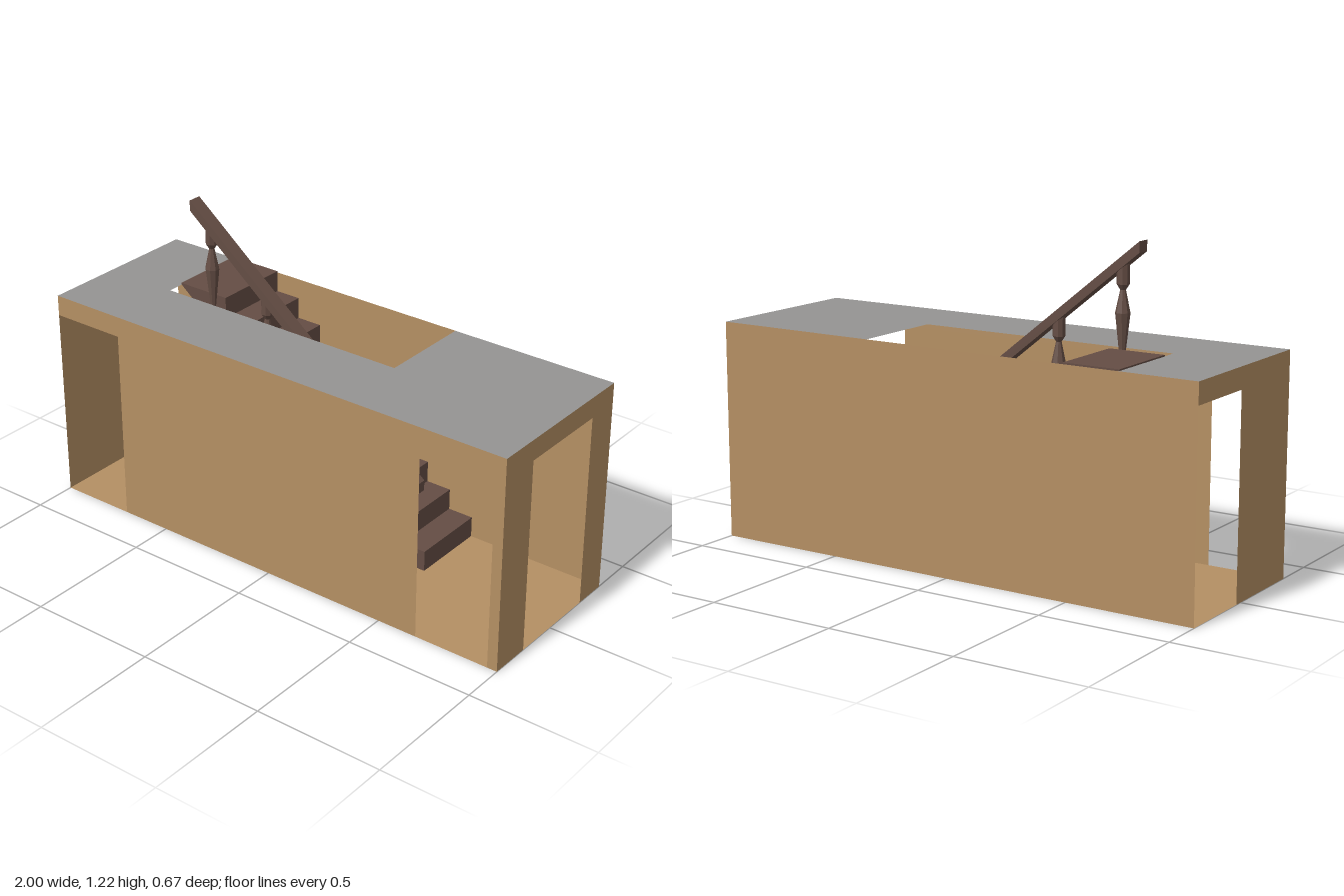
import * as THREE from 'three';

const W = 1, D = 0.333, H = 0.83, DOOR = 0.75;

function material(name, color, extra = {}) {
  const m = new THREE.MeshStandardMaterial({ color, ...extra });
  m.name = name;
  return m;
}

function outline(points) {
  return new THREE.Shape(points.map(([x, y]) => new THREE.Vector2(x, y)));
}

export function createModel() {
  const model = new THREE.Group();
  model.name = 'stairHall';
  const tan = material('tan wall', 0xb48f63, { side: THREE.DoubleSide });
  const grey = material('grey roof', 0x959492, { side: THREE.DoubleSide });
  const brown = material('dark wood', 0x644d44, { flatShading: true });
  const metal = material('metal plate', 0x9a9da2);
  const dark = material('dark socket', 0x2e2e30);

  function add(parent, name, geometry, mat, x = 0, y = 0, z = 0) {
    const mesh = new THREE.Mesh(geometry, mat);
    mesh.name = name;
    mesh.position.set(x, y, z);
    parent.add(mesh);
    return mesh;
  }
  const sheet = (name, points, mat, x, y, z) =>
    add(model, name, new THREE.ShapeGeometry(outline(points)), mat, x, y, z);

  // Walls: thin sheets with doorways cut up from the floor
  sheet('frontWall', [[-0.7, 0], [0.66, 0], [0.66, DOOR], [0.96, DOOR], [0.96, 0], [W, 0],
    [W, H], [-W, H], [-W, DOOR], [-0.7, DOOR]], tan, 0, 0, D);
  sheet('backWall', [[-W, 0], [W, 0], [W, H], [-W, H]], tan, 0, 0, -D).rotation.y = Math.PI;
  sheet('leftWall', [[-D, 0], [-0.17, 0], [-0.17, DOOR], [0.2, DOOR], [0.2, 0], [D, 0],
    [D, H], [-D, H]], tan, W, 0, 0).rotation.y = Math.PI / 2;
  sheet('rightWall', [[-0.03, 0], [D, 0], [D, H], [-D, H], [-D, DOOR], [-0.03, DOOR]],
    tan, -W, 0, 0).rotation.y = -Math.PI / 2;

  // Floor, and roof with the stairwell notch at the back
  sheet('floor', [[-W, -D], [W, -D], [W, D], [-W, D]], tan, 0, 0, 0).rotation.x = -Math.PI / 2;
  sheet('roof', [[-W, -D], [W, -D], [W, D], [0.34, D], [0.34, -0.04], [-0.7, -0.04],
    [-0.7, D], [-W, D]], grey, 0, H, 0).rotation.x = -Math.PI / 2;

  // Staircase: ten steps with a sloping underside
  const steps = 10, rise = 0.0836, going = 0.103, foot = 0.443;
  const profile = [[0.325, 0.002], [foot, 0.002]];
  for (let i = 0; i < steps; i++) {
    const x = foot - i * going;
    if (i > 0) profile.push([x, i * rise]);
    profile.push([x, (i + 1) * rise]);
  }
  profile.push([-0.703, steps * rise], [-0.703, steps * rise - 0.005]);
  add(model, 'staircase', new THREE.ExtrudeGeometry(outline(profile),
    { depth: 0.305, bevelEnabled: false }), brown, 0, 0, -0.331);

  // Handrail: sloping bar with upright end cuts
  const railing = new THREE.Group();
  railing.name = 'railing';
  model.add(railing);
  const x0 = -0.595, x1 = 0.437, y0 = 1.217, y1 = 0.385, t = 0.04;
  add(railing, 'handrail', new THREE.ExtrudeGeometry(
    outline([[x0, y0 - t], [x1, y1 - t], [x1, y1], [x0, y0]]),
    { depth: 0.053, bevelEnabled: false }), brown, 0, 0, -0.021);

  // Turned balusters, stepping down with the rail
  const turned = [[0, -0.245], [0.023, -0.245], [0.023, -0.215], [0.008, -0.175], [0.027, 0],
    [0.01, 0.08], [0.023, 0.1], [0.023, 0.17], [0, 0.17]].map(p => new THREE.Vector2(...p));
  const baluster = new THREE.LatheGeometry(turned, 8, Math.PI / 8);
  for (let i = 0; i < 4; i++) {
    add(railing, 'baluster', baluster, brown, -0.517 + i * 0.26, 0.96 - i * 0.208, 0.006);
  }

  // Small wall plate with two dark sockets
  const plate = new THREE.Group();
  plate.name = 'wallPlate';
  plate.position.set(-0.75, 0.573, -D + 0.005);
  model.add(plate);
  add(plate, 'plate', new THREE.BoxGeometry(0.1, 0.05, 0.008), metal);
  add(plate, 'plateLip', new THREE.BoxGeometry(0.1, 0.005, 0.009), dark, 0, -0.024, 0.001);
  for (const s of [-1, 1]) {
    add(plate, 'socket', new THREE.BoxGeometry(0.01, 0.014, 0.004), dark, s * 0.025, 0.008, 0.004);
  }
  return model;
}
